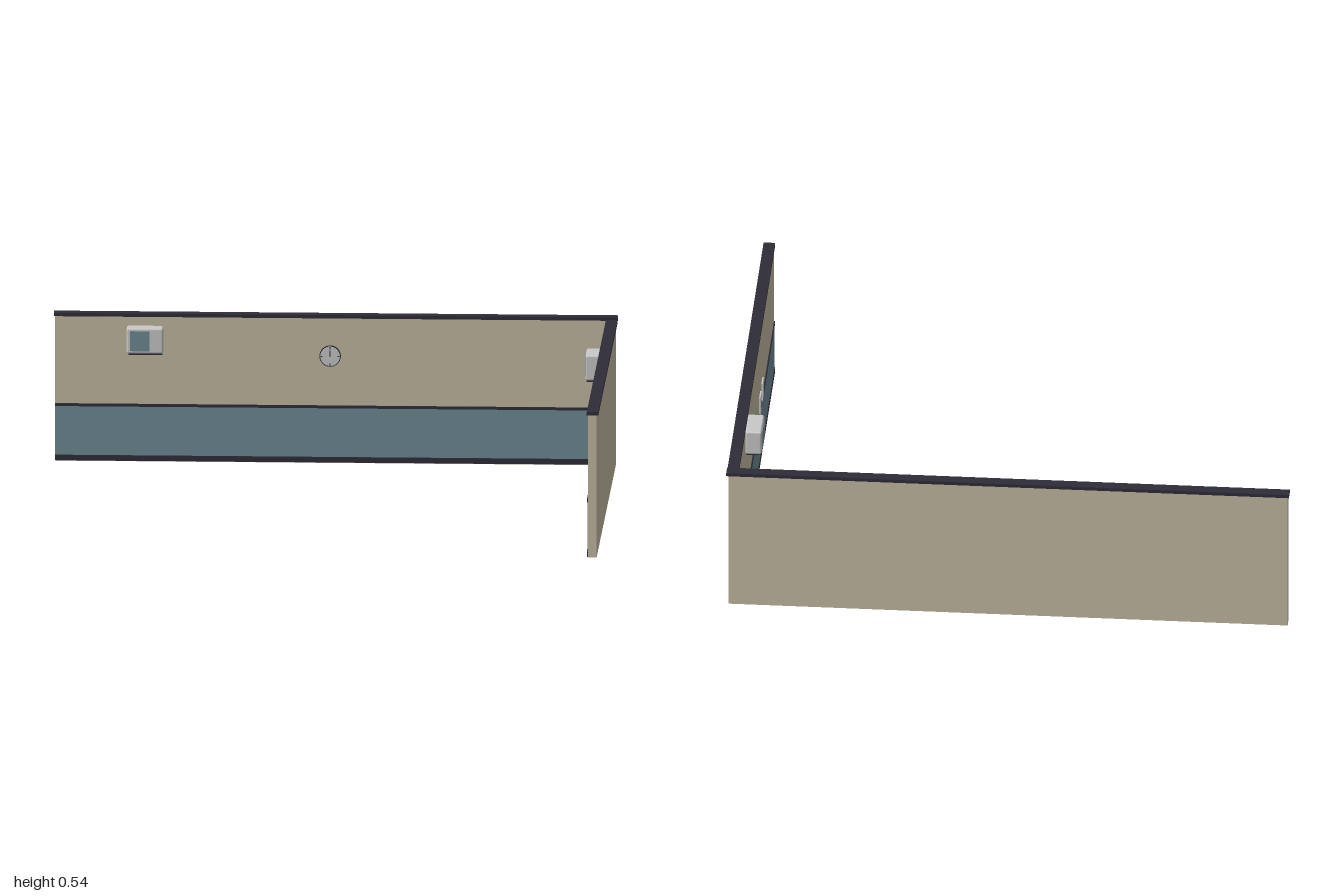
import * as THREE from 'three';
import { RoundedBoxGeometry } from 'three/addons/geometries/RoundedBoxGeometry.js';

const mat = (name, color) => {
  const m = new THREE.MeshStandardMaterial({ color });
  m.name = name;
  return m;
};

export function createModel() {
  const plaster = mat('plaster', 0xc4b9a2);
  const paint = mat('bluePaint', 0x6e8994);
  const dark = mat('darkTrim', 0x2e2d38);
  const casing = mat('greyCasing', 0xc8c8c8);
  const root = new THREE.Group();
  root.name = 'cornerWalls';

  const add = (parent, name, geometry, material, x = 0, y = 0, z = 0) => {
    const mesh = new THREE.Mesh(geometry, material);
    mesh.name = name;
    mesh.position.set(x, y, z);
    parent.add(mesh);
    return mesh;
  };
  // Box given by its lower and upper corners
  const box = (parent, name, material, a, b) =>
    add(parent, name, new THREE.BoxGeometry(b[0] - a[0], b[1] - a[1], b[2] - a[2]), material,
      (a[0] + b[0]) / 2, (a[1] + b[1]) / 2, (a[2] + b[2]) / 2);

  // A wall facing local +z: inner face at z = 0, running from x0 to x1
  const wall = (name, x0, x1, panelX1, top, capOver) => {
    const g = new THREE.Group();
    g.name = name;
    box(g, 'wallSlab', plaster, [x0, 0, -0.031], [x1, top, 0]);
    box(g, 'wallCap', dark, [x0 - capOver[0], top, -0.037], [x1 + capOver[1], top + 0.012, 0.004]);
    box(g, 'lowerPanel', paint, [x0, 0.02, 0], [panelX1, 0.2, 0.002]);
    box(g, 'skirting', dark, [x0, 0.002, 0], [panelX1, 0.022, 0.004]);
    box(g, 'dadoRail', dark, [x0, 0.198, 0], [panelX1, 0.208, 0.004]);
    root.add(g);
    return g;
  };

  const backWall = wall('backWall', -0.995, 0.993, 0.962, 0.523, [0.005, 0.007]);
  backWall.position.z = -0.798;
  const sideWall = wall('sideWall', -0.798, 0.832, 0.832, 0.514, [0, 0.003]);
  sideWall.rotation.y = -Math.PI / 2;
  sideWall.position.x = 0.962;

  // Wall unit with a screen and a dark lower lip
  const wallUnit = (parent, x) => {
    const g = new THREE.Group();
    g.name = 'wallUnit';
    g.position.set(x, 0.446, 0);
    add(g, 'unitCasing', new RoundedBoxGeometry(0.13, 0.092, 0.058, 2, 0.007), casing, 0, 0, 0.029);
    box(g, 'unitScreen', paint, [-0.053, -0.036, 0.056], [0.017, 0.036, 0.06]);
    box(g, 'unitLip', dark, [-0.058, -0.051, 0.002], [0.062, -0.044, 0.053]);
    parent.add(g);
  };
  wallUnit(backWall, -0.675);
  wallUnit(sideWall, -0.395);

  // Round wall clock
  const clock = new THREE.Group();
  clock.name = 'clock';
  clock.position.set(-0.02, 0.387, 0);
  backWall.add(clock);
  const disc = (name, r, h, m) => {
    const geo = new THREE.CylinderGeometry(r, r, h, 32).rotateX(Math.PI / 2);
    add(clock, name, geo, m, 0, 0, h / 2);
  };
  disc('clockRim', 0.038, 0.007, dark);
  disc('clockFace', 0.035, 0.009, casing);
  for (let i = 0; i < 4; i++) {
    const a = (i * Math.PI) / 2;
    const tick = add(clock, 'clockTick', new THREE.BoxGeometry(0.003, 0.008, 0.002), dark,
      Math.sin(a) * 0.03, Math.cos(a) * 0.03, 0.0095);
    tick.rotation.z = -a;
  }
  box(clock, 'clockHand', dark, [-0.002, -0.002, 0.009], [0.002, 0.022, 0.011]);

  // Small pale plates just above the rail of the side wall
  for (const x of [0.19, 0.29])
    box(sideWall, 'wallPlate', casing, [x - 0.025, 0.2, 0], [x + 0.025, 0.275, 0.005]);

  return root;
}
